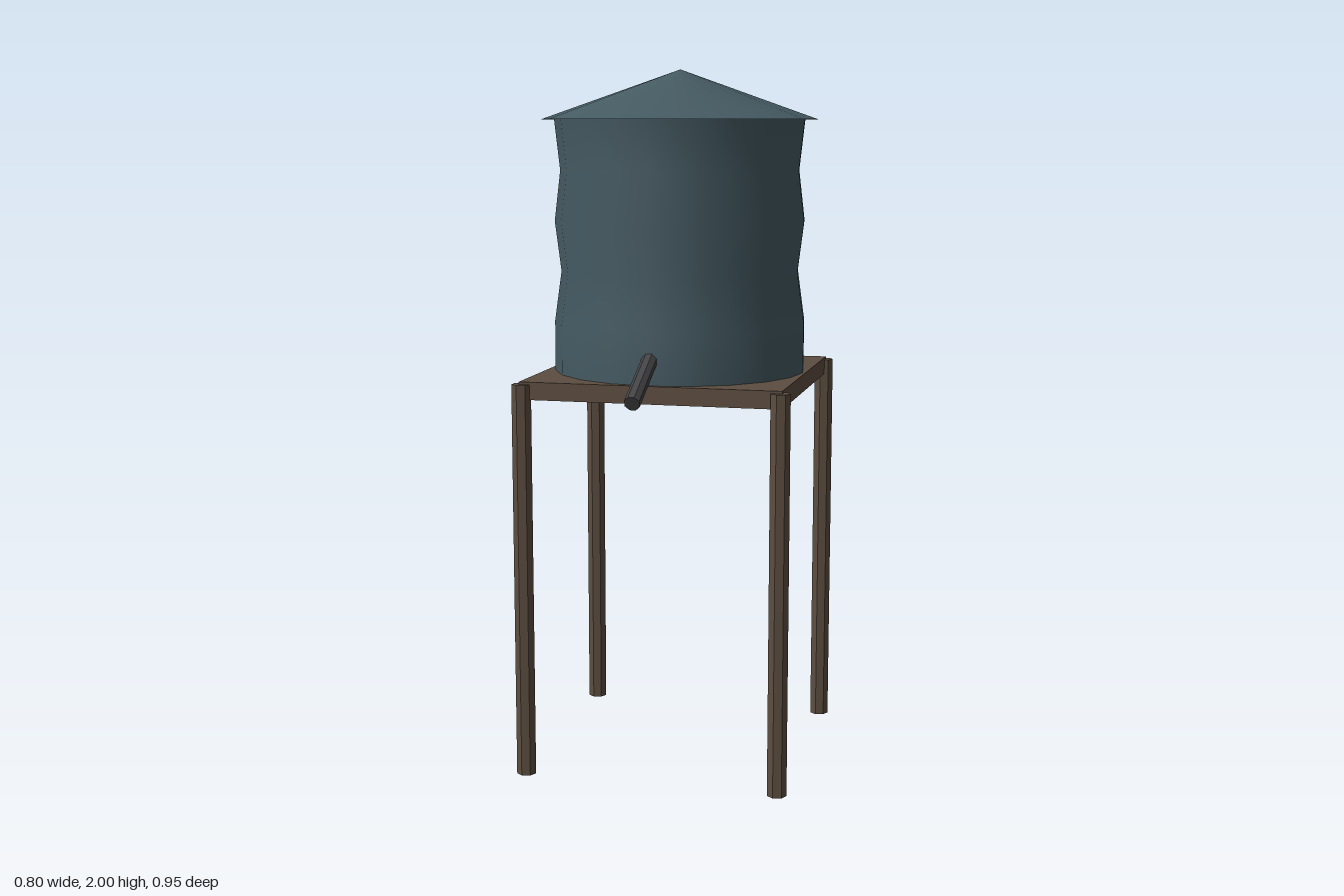
import * as THREE from 'three';

export function createModel() {
  const model = new THREE.Group();
  model.name = 'waterTower';
  const cz = -0.078; // tower axis; the spout reaches forward of it

  const wood = new THREE.MeshStandardMaterial({ color: 0x5c4d40, flatShading: true });
  const paint = new THREE.MeshStandardMaterial({ color: 0x455a62, side: THREE.DoubleSide });
  const metal = new THREE.MeshStandardMaterial({ color: 0x444446, flatShading: true });

  const add = (name, geometry, material, x, y, z) => {
    const mesh = new THREE.Mesh(geometry, material);
    mesh.name = name;
    mesh.position.set(x, y, z);
    model.add(mesh);
    return mesh;
  };

  // Four seven-sided posts, one corner of each pointing to +x
  const legGeometry = new THREE.CylinderGeometry(0.028, 0.028, 1.133, 7);
  legGeometry.rotateY(Math.PI / 2);
  for (const [side, sx] of [['Left', 1], ['Right', -1]]) {
    for (const [end, sz] of [['front', 1], ['back', -1]]) {
      add(`${end}${side}Leg`, legGeometry, wood, sx * 0.366, 1.133 / 2, cz + sz * 0.366);
    }
  }

  // Square deck under the tank
  add('platform', new THREE.BoxGeometry(0.744, 0.05, 0.744), wood, 0, 1.115, cz);

  // Tank wall, gently pinched between its bands
  const radii = [0.364, 0.364, 0.344, 0.362, 0.345, 0.361];
  const profile = radii.map((r, i) => new THREE.Vector2(r, 1.14 + i * 0.144));
  add('tank', new THREE.LatheGeometry(profile, 20), paint, 0, 0, cz);

  // Conical roof with a small overhang
  add('roof', new THREE.ConeGeometry(0.398, 0.14, 20), paint, 0, 1.93, cz);

  // Sloping spout, starting inside the tank wall
  const start = new THREE.Vector3(0, 1.247, 0.2);
  const end = new THREE.Vector3(0, 1.118, 0.463);
  const path = end.clone().sub(start);
  const spoutGeometry = new THREE.CylinderGeometry(0.0225, 0.0225, path.length(), 8);
  spoutGeometry.rotateY(Math.PI / 8);
  const mid = start.clone().add(end).multiplyScalar(0.5);
  const spout = add('spout', spoutGeometry, metal, mid.x, mid.y, mid.z);
  spout.quaternion.setFromUnitVectors(new THREE.Vector3(0, 1, 0), path.normalize());

  return model;
}
